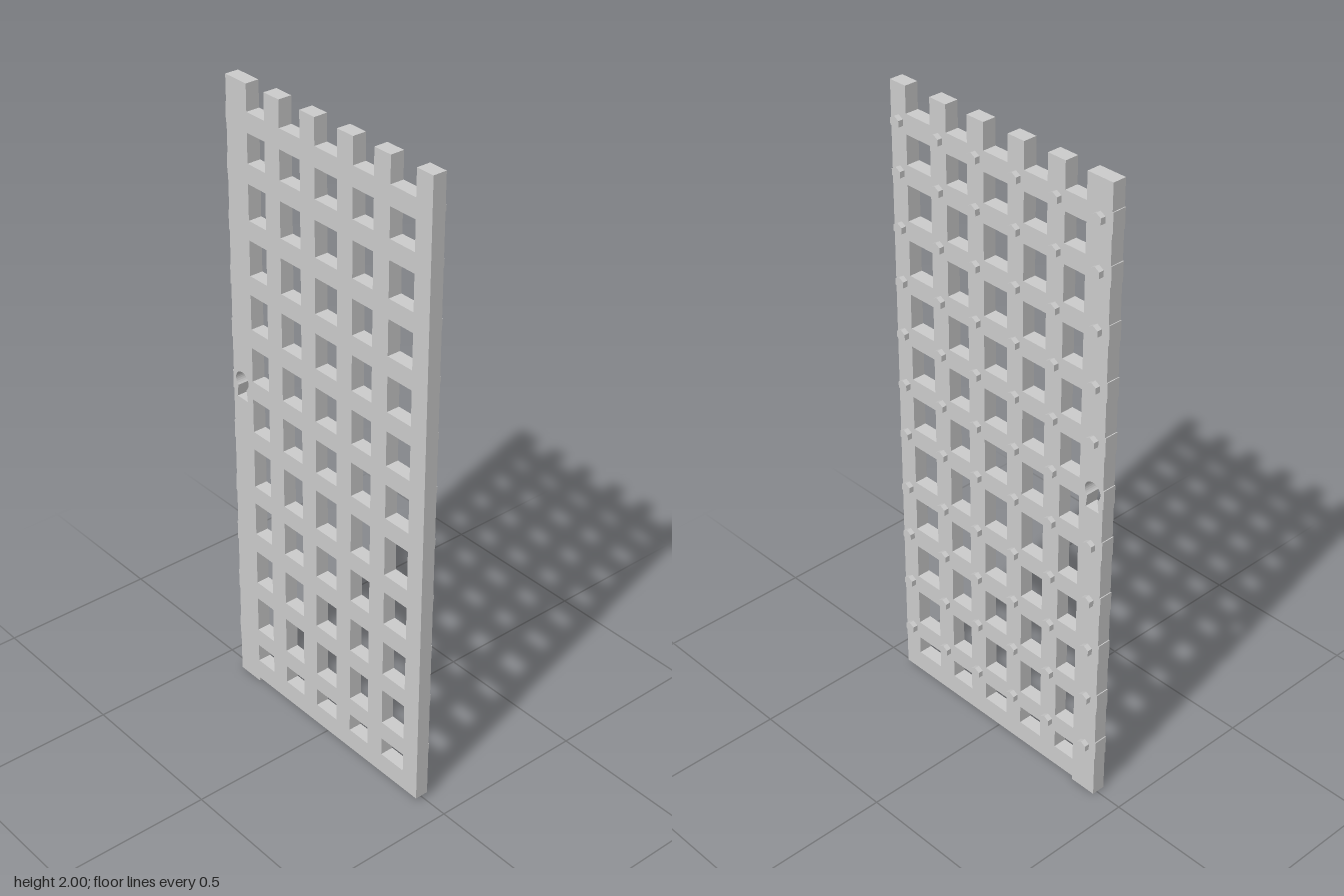
import * as THREE from 'three';

const material = new THREE.MeshStandardMaterial({ color: 0xcccccc, flatShading: true });

// Upright bars [left, right] and cross bars [bottom, top]
const uprights = [[-0.41, -0.322], [-0.247, -0.185], [-0.1, -0.04], [0.05, 0.112], [0.193, 0.255], [0.35, 0.41]];
const crossBars = [[0.14, 0.2], [0.32, 0.38], [0.495, 0.56], [0.67, 0.73], [0.86, 0.92], [1.03, 1.09],
  [1.2, 1.26], [1.37, 1.43], [1.54, 1.6], [1.71, 1.77], [1.86, 1.92]];
const sillTop = 0.08, sillBottom = 0.013;
const back = -0.015, front = 0.028;

function rectHole(x0, x1, y0, y1) {
  const p = new THREE.Path();
  p.moveTo(x0, y0);
  p.lineTo(x0, y1);
  p.lineTo(x1, y1);
  p.lineTo(x1, y0);
  p.closePath();
  return p;
}

function keyhole(x, y) {
  const p = new THREE.Path();
  p.moveTo(x - 0.024, y - 0.06);
  p.lineTo(x - 0.019, y - 0.022);
  p.absarc(x, y, 0.029, Math.PI * 1.27, -Math.PI * 0.27, true);
  p.lineTo(x + 0.024, y - 0.06);
  p.closePath();
  return p;
}

function latticeShape() {
  const s = new THREE.Shape();
  s.moveTo(-0.41, 0);
  s.lineTo(-0.322, 0);
  s.lineTo(-0.322, sillBottom);
  s.lineTo(0.41, sillBottom);
  // Open tops between the uprights
  const topBar = crossBars[crossBars.length - 1][1];
  for (let i = uprights.length - 1; i >= 0; i--) {
    const [l, r] = uprights[i];
    if (i < uprights.length - 1) s.lineTo(r, topBar);
    s.lineTo(r, 2);
    s.lineTo(l, 2);
    if (i > 0) s.lineTo(l, topBar);
  }
  // Cross bar ends stand slightly proud of the lock edge
  for (const [b, t] of [...crossBars].reverse()) {
    s.lineTo(-0.41, t);
    s.lineTo(-0.413, t);
    s.lineTo(-0.413, b);
    s.lineTo(-0.41, b);
  }
  s.closePath();
  // Windows between the bars
  for (let c = 0; c < uprights.length - 1; c++) {
    let low = sillTop;
    for (const [b, t] of crossBars) {
      s.holes.push(rectHole(uprights[c][1], uprights[c + 1][0], low, b));
      low = t;
    }
  }
  s.holes.push(keyhole(-0.371, 1.07));
  return s;
}

export function createModel() {
  const group = new THREE.Group();
  group.name = 'latticeGate';

  const geo = new THREE.ExtrudeGeometry(latticeShape(), { depth: front - back, bevelEnabled: false, curveSegments: 12 });
  geo.translate(0, 0, back);
  const lattice = new THREE.Mesh(geo, material);
  lattice.name = 'lattice';
  group.add(lattice);

  // Hexagonal rivets on the back at every crossing but the lock
  const rivets = new THREE.Group();
  rivets.name = 'rivets';
  const rivetGeo = new THREE.CylinderGeometry(0.019, 0.019, 0.017, 6);
  rivetGeo.rotateX(Math.PI / 2);
  const columns = [-0.37, -0.218, -0.071, 0.081, 0.224, 0.379];
  columns.forEach((x, c) => crossBars.forEach(([b, t], r) => {
    if (c === 0 && r === 5) return;
    const rivet = new THREE.Mesh(rivetGeo, material);
    rivet.name = 'rivet';
    rivet.position.set(x, (b + t) / 2, back - 0.0075);
    rivets.add(rivet);
  }));
  group.add(rivets);
  return group;
}
